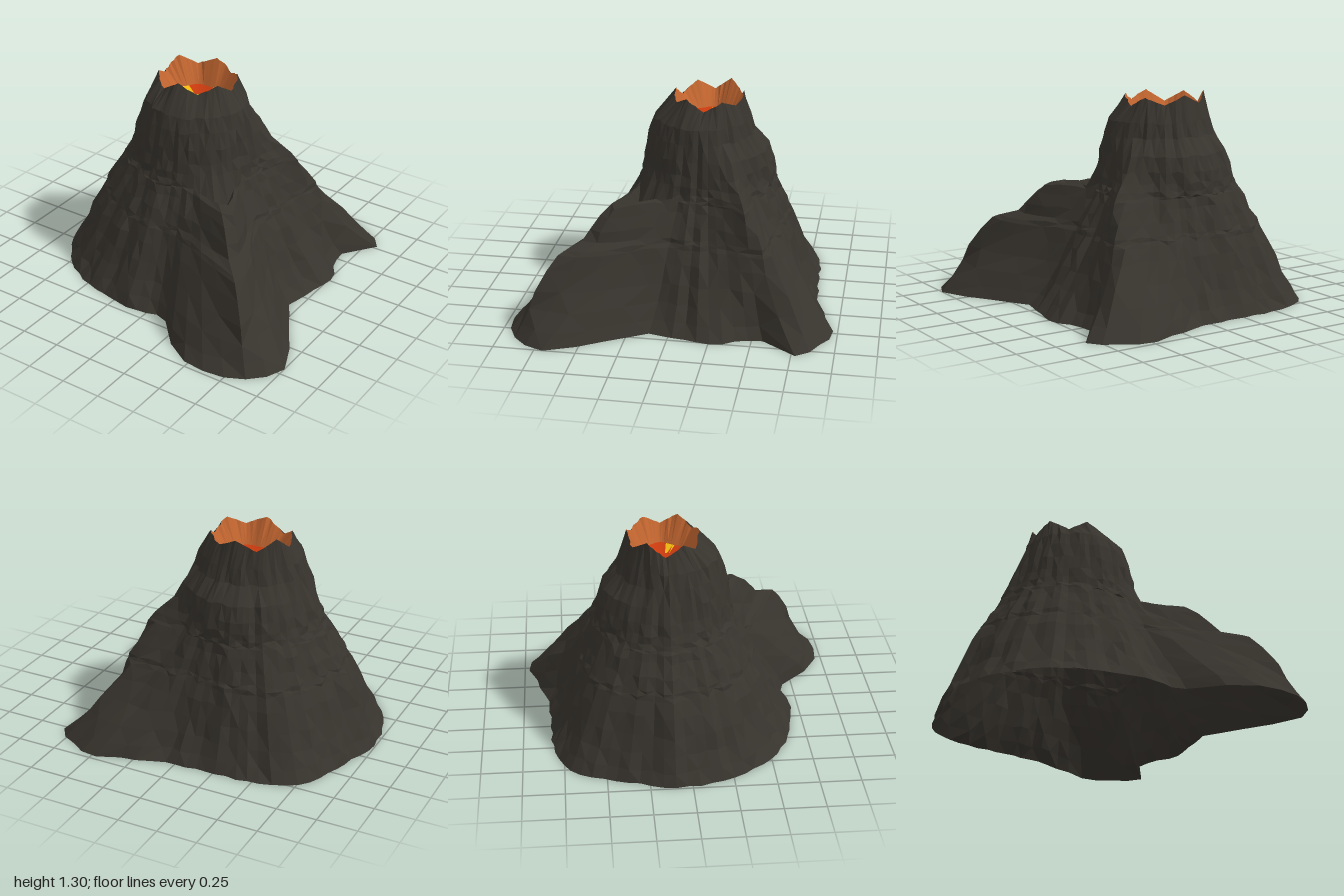
import * as THREE from 'three';

const SEGMENTS = 72;
const CENTRE = { x: -0.14, z: -0.1 };
const RIM_Y = 1.25;

// Foot of the mountain: [angle in degrees from +x towards +z, radius]
const FOOT = [
  [0, 0.87], [8, 0.85], [15, 0.86], [22.5, 0.98], [30, 1.23], [35, 1.39], [40, 1.43], [45, 1.42],
  [52.5, 1.36], [60, 1.22], [65, 1.06], [70, 0.84], [75, 0.79], [90, 0.81], [105, 0.79], [120, 0.82],
  [135, 0.84], [150, 0.84], [165, 0.85], [180, 0.85], [195, 0.82], [210, 0.84], [225, 0.88],
  [240, 0.81], [255, 0.75], [270, 0.73], [285, 0.76], [300, 0.94], [307.5, 1.12], [315, 1.14],
  [320, 1.18], [325, 1.18], [330, 0.93], [337.5, 0.88], [345, 0.92], [352.5, 0.92], [360, 0.87],
];

// Radius against height for the main cone
const CONE = [[0, 0.83], [0.13, 0.77], [0.37, 0.68], [0.55, 0.585], [0.73, 0.475],
  [0.93, 0.395], [1.05, 0.35], [1.13, 0.325], [RIM_Y, 0.25]];

// Spurs: crest angle at the foot and at the peak, radius of the crest against height
const FRONT_SPUR = { low: 47, high: 42, crest: [[0, 1.43], [0.12, 1.35], [0.25, 1.29], [0.37, 1.21],
  [0.46, 1.14], [0.48, 1.08], [0.5, 0.97], [0.57, 0.93], [0.65, 0.86], [0.695, 0.79], [0.71, 0.68], [0.73, 0.5]] };
const BACK_SPUR = { low: 316, high: 329, crest: [[0, 1.18], [0.12, 1.07], [0.23, 0.97], [0.4, 0.83],
  [0.55, 0.75], [0.64, 0.7], [0.72, 0.64], [0.77, 0.56], [0.85, 0.48], [0.95, 0.41]] };

const SADDLE = 0.74;
const LEVELS = [0, 0.07, 0.16, 0.26, 0.37, 0.45, 0.475, 0.5, 0.57, 0.645, 0.695, 0.71, SADDLE,
  0.785, 0.85, 0.94, 1.04, 1.13, RIM_Y];

function lookup(table, v) {
  for (let i = 1; i < table.length; i++) {
    const [a, ra] = table[i - 1];
    const [b, rb] = table[i];
    if (v <= b) return ra + (rb - ra) * (v - a) / (b - a);
  }
  return table[table.length - 1][1];
}

function makeRandom(seed) {
  return () => {
    seed = (seed * 16807) % 2147483647;
    return seed / 2147483647 - 0.5;
  };
}

// Part of the foot outline that belongs to the cone rather than to a spur
const flareAt = (deg) => Math.min(lookup(FOOT, deg) - CONE[0][1], 0.06);

// Cone hollowed everywhere but on the -x side, fading into the uneven foot
function coneRadius(deg, y) {
  const a = THREE.MathUtils.degToRad(deg);
  const back = Math.max(0, -Math.sin(a));
  const hollow = 0.3 * Math.max(Math.sin(a), Math.cos(a), 0) * Math.max(0, y * (1 - y))
    + 0.3 * back * Math.max(0, y * (0.85 - y)) + (y > 1 && y < 1.2 ? 0.05 * back : 0);
  return lookup(CONE, y) + flareAt(deg) * Math.max(0, 1 - y / 0.8) - hollow;
}

// Falls from 1 on the crest of a spur to 0 at its sides
function tent(spur, deg, y) {
  const middle = THREE.MathUtils.lerp(spur.low, spur.high, Math.min(1, y / 0.72));
  return Math.max(0, 1 - Math.abs(deg - middle) / 27);
}

// Spurs change from the foot outline to a sharp crest as they rise
function surfaceRadius(deg, y) {
  const cone = coneRadius(deg, y);
  const beyond = lookup(FOOT, deg) - CONE[0][1] - flareAt(deg);
  let radius = cone;
  for (const spur of [FRONT_SPUR, BACK_SPUR]) {
    const { low, crest } = spur;
    if (y >= crest[crest.length - 1][0]) continue;
    const onFoot = Math.abs(deg - low) < 36 ? Math.min(1, beyond / (crest[0][1] - 0.89)) : 0;
    const onCrest = Math.pow(tent(spur, deg, y), 0.9 + 1.8 * y);
    const weight = THREE.MathUtils.lerp(onFoot, onCrest, Math.min(1, y / 0.3));
    radius += weight * Math.max(0, lookup(crest, y) - cone);
  }
  return radius;
}

// Triangles of a closed strip between successive rings
function stripTriangles(rings) {
  const triangles = [];
  for (let k = 0; k + 1 < rings.length; k++) {
    const low = rings[k], high = rings[k + 1], n = low.length;
    for (let i = 0; i < n; i++) {
      const j = (i + 1) % n;
      if ((i + k) % 2) triangles.push([low[i], high[i], high[j]], [low[i], high[j], low[j]]);
      else triangles.push([low[i], high[i], low[j]], [low[j], high[i], high[j]]);
    }
  }
  return triangles;
}

function facetedMesh(name, color, triangles) {
  const geometry = new THREE.BufferGeometry().setFromPoints(triangles.flat());
  geometry.computeVertexNormals();
  const material = new THREE.MeshStandardMaterial({ color, flatShading: true, side: THREE.DoubleSide });
  const mesh = new THREE.Mesh(geometry, material);
  mesh.name = name;
  return mesh;
}

export function createModel() {
  const group = new THREE.Group();
  group.name = 'volcano';
  const random = makeRandom(4217);

  // Vertical gullies shared by all levels
  const gullies = Array.from({ length: SEGMENTS }, () => random() * 0.05 - 0.008);

  // Jagged rim of alternating peaks and notches
  const jags = Array.from({ length: SEGMENTS / 6 }, (_, i) => (i % 2 ? 0.035 : -0.03) + random() * 0.03);
  const rimHeight = (i) => {
    const p = i / 6, k = Math.floor(p), f = p - k;
    return RIM_Y + jags[k] * (1 - f) + jags[(k + 1) % jags.length] * f;
  };

  // Rocky outer slope, open underneath, with a saddle behind the front spur
  const slope = LEVELS.map((y, level) => {
    const atRim = level === LEVELS.length - 1;
    const squash = atRim ? 0.86 : 1;
    const shift = atRim ? -0.015 : 0;
    return Array.from({ length: SEGMENTS }, (_, i) => {
      const deg = (i / SEGMENTS) * 360;
      const dip = y === SADDLE ? 0.16 * tent(FRONT_SPUR, deg, y) : 0;
      const smooth = dip > 0 ? coneRadius(deg, y - dip) : surfaceRadius(deg, y);
      const rough = level === 0 || atRim ? 0.015 * random() : gullies[i] * smooth + 0.018 * random();
      const r = smooth + rough;
      const a = THREE.MathUtils.degToRad(deg);
      const height = level === 0 ? 0 : atRim ? rimHeight(i) : y - dip + 0.014 * random();
      return new THREE.Vector3(CENTRE.x + shift + r * Math.cos(a), height, CENTRE.z + shift + squash * r * Math.sin(a));
    });
  });
  group.add(facetedMesh('rockSlope', 0x37332d, stripTriangles(slope)));

  // Glowing inner wall of the crater
  const rim = slope[slope.length - 1];
  const ring = (radius, y, wobble) => rim.map((_, i) => {
    const a = (i / SEGMENTS) * Math.PI * 2;
    const r = radius * (1 + wobble * Math.cos(a * 6));
    return new THREE.Vector3(CENTRE.x - 0.01 + r * Math.cos(a), y, CENTRE.z - 0.02 + r * 0.85 * Math.sin(a));
  });
  const wallFoot = ring(0.165, 1.12, 0.05);
  group.add(facetedMesh('craterWall', 0xc0642f, stripTriangles([rim, wallFoot])));

  // Lava floor, with hotter patches picked by position
  const lava = stripTriangles([wallFoot, ring(0.085, 1.09, 0), ring(0.002, 1.09, 0)]);
  const hotSpots = [[-0.26, -0.15, 0.04], [-0.18, -0.14, 0.035], [-0.11, -0.22, 0.025], [-0.03, -0.07, 0.025]];
  const isHot = ([a, b, c]) => hotSpots.some(([x, z, r]) =>
    Math.hypot((a.x + b.x + c.x) / 3 - x, (a.z + b.z + c.z) / 3 - z) < r);
  group.add(facetedMesh('lavaFloor', 0xc83a0e, lava.filter((t) => !isHot(t))));
  group.add(facetedMesh('hotLava', 0xf0b810, lava.filter(isHot)));

  return group;
}
